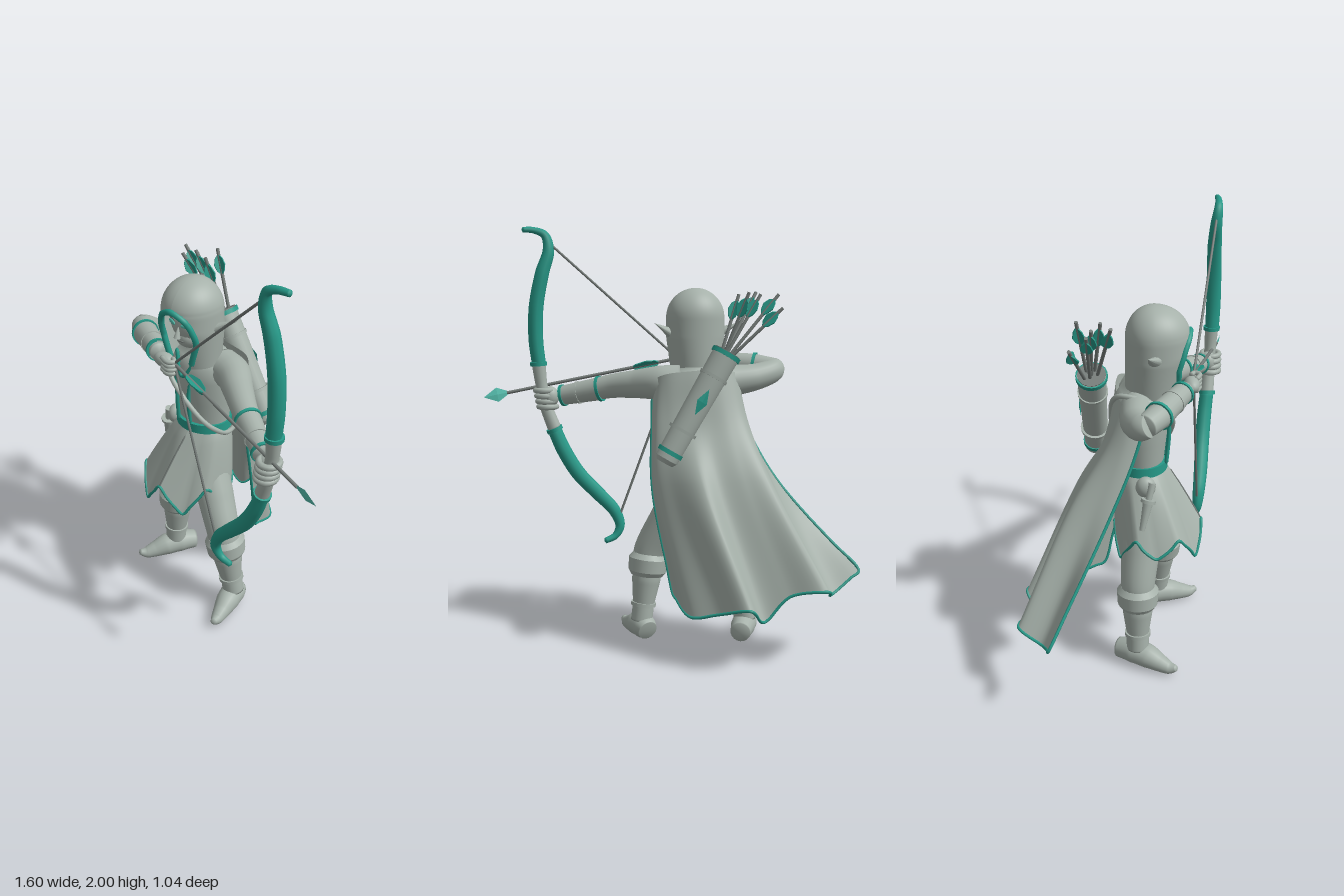
import * as THREE from 'three';
import { mergeVertices } from 'three/addons/utils/BufferGeometryUtils.js';
import { ParametricGeometry } from 'three/addons/geometries/ParametricGeometry.js';

const V = (p) => new THREE.Vector3(...p);
const paint = (name, color) => Object.assign(new THREE.MeshStandardMaterial({ color, side: THREE.DoubleSide }), { name });

export function createModel() {
  const root = new THREE.Group();
  root.name = 'archer';
  const cloth = paint('sage grey', 0xa6b1aa);
  const teal = paint('teal', 0x269988);
  const bright = paint('bright teal', 0x58c4b3);
  const grey = paint('dark grey', 0x757c79);

  const add = (name, geo, mat, parent = root) => {
    const m = new THREE.Mesh(geo, mat);
    m.name = name;
    parent.add(m);
    return m;
  };
  const smooth = (geo) => {
    geo.deleteAttribute('uv');
    geo.deleteAttribute('normal');
    const g = mergeVertices(geo, 1e-5);
    g.computeVertexNormals();
    return g;
  };
  // Tapered tube through points, one radius per point, closed at both ends
  const limb = (name, pts, radii, mat, sides = 14, closed = false) => {
    const c = new THREE.CatmullRomCurve3(pts.map(V), closed);
    c.getPointAt = c.getPoint;
    c.getTangentAt = c.getTangent;
    const n = pts.length * 8;
    const geo = new THREE.TubeGeometry(c, n, 1, sides, closed);
    const pos = geo.attributes.position, p = new THREE.Vector3();
    for (let i = 0; i <= n; i++) {
      const f = (i / n) * (radii.length - 1), k = Math.min(Math.floor(f), radii.length - 2);
      let r = radii.length > 1 ? THREE.MathUtils.lerp(radii[k], radii[k + 1], f - k) : radii[0];
      if (!closed && (i === 0 || i === n)) r = 0;
      const o = c.getPoint(i / n);
      for (let j = 0; j <= sides; j++) {
        const q = i * (sides + 1) + j;
        p.fromBufferAttribute(pos, q).sub(o).multiplyScalar(r).add(o);
        pos.setXYZ(q, p.x, p.y, p.z);
      }
    }
    return add(name, smooth(geo), mat);
  };
  // Group whose +y runs from a to b
  const axis = (name, a, b) => {
    const g = new THREE.Group(), d = V(b).sub(V(a));
    g.name = name;
    g.position.copy(V(a));
    g.userData.length = d.length();
    g.quaternion.setFromUnitVectors(new THREE.Vector3(0, 1, 0), d.normalize());
    root.add(g);
    return g;
  };
  const rod = (name, parent, y0, y1, r0, r1, mat, sides = 20) => {
    const m = add(name, new THREE.CylinderGeometry(r1, r0, y1 - y0, sides), mat, parent);
    m.position.y = (y0 + y1) / 2;
    return m;
  };
  const blob = (name, p, s, mat) => {
    const m = add(name, new THREE.SphereGeometry(1, 24, 16), mat);
    m.position.set(...p);
    m.scale.set(...s);
    return m;
  };
  const surface = (name, f, nu, nv, mat) => {
    const g = new ParametricGeometry((u, v, t) => t.copy(f(u, v)), nu, nv);
    g.computeVertexNormals();
    return add(name, g, mat);
  };

  // Torso, belt and chest trim
  const torso = add('torso', new THREE.LatheGeometry([[0.11, 0.86], [0.125, 0.97], [0.14, 1.1], [0.157, 1.22], [0.15, 1.29], [0.12, 1.33], [0.06, 1.36], [0.05, 1.44]].map((p) => new THREE.Vector2(...p)), 32), cloth);
  torso.position.set(-0.15, 0, 0.05);
  torso.scale.z = 0.8;
  const belt = add('belt', new THREE.CylinderGeometry(0.136, 0.138, 0.044, 32), teal);
  belt.position.set(-0.15, 0.972, 0.05);
  belt.scale.z = 0.87;
  for (const x of [-0.21, -0.14]) {
    limb('chestTrim', [[x + (x < -0.2 ? -0.01 : 0.02), 1.28, 0.155], [x, 1.15, 0.169], [x - 0.005, 0.98, 0.158]], [0.009], teal, 8);
  }
  limb('collarTrim', [[-0.22, 1.36, 0.15], [-0.17, 1.24, 0.175], [-0.09, 1.36, 0.15]], [0.009], teal, 8);

  // Flared tunic skirt, pointed hem longest at the front
  const skirtPt = (u, v) => {
    const a = u * Math.PI * 2, w = Math.abs(((u * 6) % 1) - 0.5) * 2, c = Math.cos(a);
    const drop = 0.265 + (0.075 + 0.065 * Math.abs(c)) * (1 - w), e = Math.pow(v, 0.75);
    const rx = 0.126 + 0.098 * e, rz = 0.108 + 0.072 * e + 0.04 * v * Math.max(0, c);
    return new THREE.Vector3(-0.15 - 0.055 * v + rx * Math.sin(a), 0.953 - v * drop, 0.05 + 0.055 * v + rz * c);
  };
  surface('skirt', skirtPt, 72, 12, cloth);
  const hem = [];
  for (let i = 0; i < 36; i++) hem.push(skirtPt(i / 36, 1).toArray());
  limb('skirtTrim', hem, [0.007], teal, 6, true);
  limb('frontSeam', [0.1, 0.4, 0.75, 1].map((v) => skirtPt(0, v).toArray()), [0.004], grey, 6);

  // Legs, boots and feet
  const legs = [
    { hip: [-0.12, 0.8, 0.08], knee: [0.06, 0.43, 0.168], ankle: [0.1, 0.13, 0.155], dir: [0.2, 0.98], heel: -0.06 },
    { hip: [-0.25, 0.8, 0.06], knee: [-0.36, 0.43, 0.025], ankle: [-0.385, 0.13, 0.025], dir: [-0.52, 0.85], heel: -0.11 },
  ];
  for (const { hip, knee, ankle, dir, heel } of legs) {
    const at = (t) => V(knee).lerp(V(ankle), t).toArray();
    limb('thigh', [hip, V(hip).lerp(V(knee), 0.5).toArray(), knee, at(0.3)], [0.09, 0.09, 0.078, 0.065], cloth, 20);
    limb('bootShaft', [at(0.1), at(0.45), at(0.85), at(1.15)], [0.072, 0.07, 0.052, 0.053], cloth, 20);
    const cuff = axis('bootCuff', at(0.34), at(0));
    rod('cuffBottom', cuff, -0.01, 0.012, 0.078, 0.093, cloth, 24);
    rod('cuff', cuff, 0.012, 0.075, 0.093, 0.097, cloth, 24);
    rod('cuffTop', cuff, 0.075, 0.1, 0.097, 0.078, cloth, 24);
    const strap = axis('ankleStrap', at(0.88), at(0.78));
    rod('band', strap, 0, 0.018, 0.061, 0.061, cloth);
    const step = (d, y) => [ankle[0] + dir[0] * d, y, ankle[2] + dir[1] * d];
    limb('foot', [step(heel, 0.052), step(-0.02, 0.064), step(0.06, 0.057), step(0.12, 0.042), step(0.17, 0.034), step(0.21, 0.046)], [0.047, 0.06, 0.056, 0.042, 0.03, 0.012], cloth, 18);
  }

  // Arms with banded bracers
  limb('leftArm', [[-0.06, 1.27, 0.03], [0.03, 1.27, 0.06], [0.13, 1.26, 0.145], [0.23, 1.245, 0.23], [0.34, 1.215, 0.305], [0.45, 1.19, 0.39]], [0.085, 0.082, 0.067, 0.057, 0.05, 0.042], cloth, 20);
  limb('rightUpperArm', [[-0.22, 1.27, 0.03], [-0.3, 1.275, 0.02], [-0.42, 1.29, 0.01], [-0.52, 1.318, 0.03], [-0.54, 1.335, 0.06]], [0.08, 0.076, 0.064, 0.056, 0.048], cloth, 20);
  limb('rightForearm', [[-0.54, 1.325, 0.035], [-0.46, 1.337, 0.1], [-0.35, 1.35, 0.17], [-0.24, 1.362, 0.24]], [0.05, 0.056, 0.049, 0.038], cloth, 20);
  const bracer = (a, b, r0, r1) => {
    const g = axis('bracer', a, b), L = g.userData.length;
    rod('bracerShell', g, 0, L, r0, r1, cloth);
    rod('bracerRing', g, 0, 0.014, r0 + 0.006, r0 + 0.006, teal);
    rod('bracerRing', g, L - 0.014, L, r1 + 0.006, r1 + 0.006, teal);
    rod('bracerBand', g, L * 0.55, L * 0.55 + 0.01, r1 + 0.008, r1 + 0.008, cloth);
  };
  bracer([0.27, 1.233, 0.26], [0.44, 1.192, 0.375], 0.056, 0.047);
  bracer([-0.46, 1.337, 0.1], [-0.27, 1.358, 0.22], 0.058, 0.047);

  // Hands
  blob('leftHand', [0.49, 1.185, 0.42], [0.045, 0.05, 0.04], cloth);
  for (let i = 0; i < 4; i++) {
    const f = add('leftFinger', new THREE.TorusGeometry(0.043, 0.014, 8, 20), cloth);
    f.position.set(0.515 - i * 0.005, 1.215 - i * 0.027, 0.435);
    f.rotation.x = Math.PI / 2;
  }
  blob('rightHand', [-0.19, 1.358, 0.265], [0.055, 0.034, 0.035], cloth);
  for (let i = 0; i < 4; i++) {
    const y = 1.382 - i * 0.019;
    limb('rightFinger', [[-0.19, y, 0.285], [-0.135, y, 0.305], [-0.115, y, 0.285], [-0.14, y, 0.265]], [0.011], cloth, 8);
  }

  // Head, face and pointed ears
  blob('face', [-0.15, 1.52, 0.11], [0.1, 0.115, 0.105], cloth);
  blob('jaw', [-0.148, 1.445, 0.135], [0.065, 0.06, 0.068], cloth);
  const nose = add('nose', new THREE.ConeGeometry(0.016, 0.06, 8), cloth);
  nose.position.set(-0.148, 1.49, 0.217);
  nose.rotation.x = -0.25;
  blob('mouth', [-0.148, 1.437, 0.202], [0.022, 0.004, 0.004], grey);
  for (const s of [-1, 1]) {
    const eye = blob('eye', [-0.148 + s * 0.042, 1.522, 0.206], [0.028, 0.011, 0.006], bright);
    eye.rotation.y = s * 0.4;
    const brow = blob('brow', [-0.148 + s * 0.042, 1.543, 0.204], [0.03, 0.006, 0.006], grey);
    brow.rotation.set(0, s * 0.4, s * 0.15);
    const ear = axis('ear', [-0.15 + s * 0.12, 1.5, 0.1], [-0.15 + s * 0.215, 1.55, 0.06]);
    const cone = add('earTip', new THREE.ConeGeometry(0.038, 0.12, 12), cloth, ear);
    cone.position.y = 0.05;
    cone.scale.x = 0.7;
  }

  // Hood with an arched opening, drawn in toward the chin
  const hoodPt = (u, v) => {
    const k = Math.max(0, (v - 0.6) / 0.4) * Math.PI / 2;
    const y = v < 0.6 ? 1.31 + (v / 0.6) * 0.26 : 1.57 + 0.14 * Math.sin(k);
    const r = 0.138 * Math.cos(k);
    const a = y > 1.44 ? 0.78 * Math.sqrt(Math.max(0, 1 - ((y - 1.44) / 0.155) ** 2)) : 0.78 - (1.44 - y) * 2.4;
    const t = a + u * (Math.PI * 2 - 2 * a), c = Math.cos(t);
    const front = 1.14 - 1.9 * Math.max(0, 1.5 - y), narrow = 1 - 0.9 * Math.max(0, 1.48 - y);
    return new THREE.Vector3(-0.152 + r * narrow * Math.sin(t), y, 0.1 + r * c * (c > 0 ? front : 0.9));
  };
  surface('hood', hoodPt, 40, 48, cloth);
  const arch = [];
  for (let i = 0; i <= 12; i++) arch.push(hoodPt(0, 0.06 + i * 0.0489).toArray());
  const archBack = arch.map((p) => [-0.304 - p[0], p[1], p[2]]).reverse();
  limb('hoodTrim', [...arch, ...archBack.slice(1)], [0.014], teal, 8);

  // Cape swept back and to the side
  const rows = [
    [[0.07, 1.27, 0.07], [0.07, 1.3, 0], [0.03, 1.32, -0.04], [-0.06, 1.33, -0.06], [-0.15, 1.335, -0.065], [-0.23, 1.33, -0.06], [-0.3, 1.32, -0.04], [-0.33, 1.3, 0], [-0.32, 1.26, 0.06]],
    [[0.08, 1.07, 0.05], [0.085, 1.09, -0.02], [0.03, 1.1, -0.055], [-0.06, 1.1, -0.085], [-0.15, 1.1, -0.11], [-0.24, 1.1, -0.13], [-0.32, 1.1, -0.12], [-0.36, 1.09, -0.06], [-0.37, 1.07, 0]],
    [[0.09, 0.78, 0.01], [0.095, 0.8, -0.06], [0.04, 0.82, -0.13], [-0.07, 0.83, -0.24], [-0.16, 0.83, -0.23], [-0.27, 0.84, -0.26], [-0.38, 0.84, -0.28], [-0.43, 0.83, -0.18], [-0.48, 0.82, -0.12]],
    [[0.03, 0.3, -0.12], [0, 0.24, -0.29], [-0.1, 0.27, -0.38], [-0.21, 0.31, -0.495], [-0.3, 0.23, -0.43], [-0.42, 0.34, -0.44], [-0.57, 0.37, -0.515], [-0.64, 0.32, -0.41], [-0.795, 0.41, -0.375]],
  ];
  const columns = rows[0].map((_, i) => new THREE.CatmullRomCurve3(rows.map((r) => V(r[i]))));
  const capePt = (u, v) => new THREE.CatmullRomCurve3(columns.map((c) => c.getPoint(v))).getPoint(u);
  surface('cape', capePt, 64, 30, cloth);
  const edge = [];
  for (let i = 0; i <= 10; i++) edge.push(capePt(0, i / 10).toArray());
  for (let i = 1; i <= 32; i++) edge.push(capePt(i / 32, 1).toArray());
  for (let i = 1; i <= 10; i++) edge.push(capePt(1, 1 - i / 10).toArray());
  limb('capeTrim', edge, [0.007], teal, 6);

  // Quiver, its strap and spare arrows
  const quiver = axis('quiver', [0.07, 0.945, -0.15], [-0.21, 1.42, -0.17]);
  const qL = quiver.userData.length;
  rod('quiverBody', quiver, 0, qL, 0.054, 0.064, cloth, 24);
  rod('quiverBase', quiver, -0.02, 0, 0.04, 0.054, cloth, 24);
  rod('quiverRing', quiver, 0.025, 0.045, 0.06, 0.06, teal, 24);
  rod('quiverRim', quiver, qL - 0.02, qL, 0.07, 0.07, teal, 24);
  rod('quiverMouth', quiver, qL - 0.01, qL + 0.004, 0.062, 0.062, grey, 24);
  for (const y of [0.14, 0.42]) rod('quiverBand', quiver, y, y + 0.014, 0.067, 0.068, cloth, 24);
  const leaf = add('quiverLeaf', new THREE.OctahedronGeometry(1), teal, quiver);
  leaf.scale.set(0.026, 0.065, 0.004);
  leaf.position.set(0.01, 0.3, -0.063);
  limb('strap', [[-0.29, 1.33, 0.05], [-0.26, 1.25, 0.165], [-0.13, 1.1, 0.178], [-0.04, 0.99, 0.13], [-0.015, 0.93, 0.03], [-0.02, 1.0, -0.05], [-0.16, 1.25, -0.085], [-0.26, 1.34, -0.05]], [0.012], cloth, 8, true);

  // Arrow with its shaft from a to b, and three leaf-shaped vanes
  const arrow = (a, b, vaneAt, vaneLen) => {
    const g = axis('arrow', a, b), L = g.userData.length;
    rod('shaft', g, 0, L, 0.008, 0.008, grey, 8);
    for (let i = 0; i < 3; i++) {
      const pivot = new THREE.Group();
      pivot.rotation.y = (i * Math.PI * 2) / 3;
      g.add(pivot);
      const s = new THREE.Shape([[0, 0], [0.02, 0.02], [0.03, vaneLen * 0.5], [0.02, vaneLen - 0.02], [0, vaneLen]].map((p) => new THREE.Vector2(...p)));
      add('vane', new THREE.ExtrudeGeometry(s, { depth: 0.006, bevelEnabled: false }), teal, pivot).position.y = vaneAt < 0 ? L + vaneAt : vaneAt;
    }
    return g;
  };
  for (const tip of [[-0.44, 1.62, -0.26], [-0.45, 1.68, -0.19], [-0.38, 1.69, -0.09], [-0.37, 1.68, -0.17], [-0.29, 1.69, -0.23], [-0.28, 1.68, -0.13]]) {
    arrow([-0.18 + 0.1 * (tip[0] + 0.37), 1.37, -0.17 + 0.2 * (tip[2] + 0.17)], tip, -0.125, 0.1);
  }

  // Drawn arrow with a flat bright head
  const shot = arrow([-0.13, 1.37, 0.275], [0.69, 1.202, 0.489], 0.1, 0.14);
  shot.name = 'drawnArrow';
  const head = add('arrowHead', new THREE.OctahedronGeometry(1), bright, shot);
  head.scale.set(0.036, 0.068, 0.0045);
  head.position.y = shot.userData.length + 0.048;

  // Bow, grip and string
  limb('upperBowLimb', [[0.535, 1.32, 0.44], [0.55, 1.46, 0.445], [0.546, 1.62, 0.442], [0.515, 1.78, 0.435], [0.482, 1.89, 0.435], [0.497, 1.96, 0.445], [0.545, 1.982, 0.45], [0.608, 1.985, 0.45]], [0.034, 0.036, 0.036, 0.034, 0.028, 0.021, 0.016, 0.013], teal, 8);
  limb('lowerBowLimb', [[0.475, 1.03, 0.42], [0.43, 0.92, 0.405], [0.36, 0.8, 0.39], [0.26, 0.69, 0.375], [0.185, 0.605, 0.36], [0.16, 0.53, 0.35], [0.185, 0.48, 0.345], [0.245, 0.455, 0.34]], [0.034, 0.036, 0.036, 0.034, 0.03, 0.024, 0.018, 0.014], teal, 8);
  limb('bowGrip', [[0.54, 1.35, 0.44], [0.53, 1.25, 0.435], [0.51, 1.14, 0.43], [0.465, 1.01, 0.418]], [0.034, 0.029, 0.03, 0.034], cloth, 14);
  for (const [a, b] of [[[0.54, 1.335, 0.44], [0.541, 1.355, 0.44]], [[0.474, 1.03, 0.42], [0.466, 1.01, 0.419]]]) {
    rod('ring', axis('bowRing', a, b), 0, 0.018, 0.041, 0.041, teal);
  }
  for (const end of [[0.475, 1.92, 0.435], [0.165, 0.57, 0.35]]) {
    const g = axis('bowString', [-0.12, 1.37, 0.28], end);
    rod('string', g, 0, g.userData.length, 0.006, 0.006, grey, 8);
  }

  // Belt pouch and sheathed dagger on the right hip
  blob('pouch', [-0.32, 0.925, 0.06], [0.036, 0.05, 0.045], cloth);
  const dagger = axis('dagger', [-0.4, 0.75, 0.04], [-0.34, 0.97, 0.09]);
  rod('sheath', dagger, 0, 0.13, 0.012, 0.023, cloth, 12);
  rod('guard', dagger, 0.13, 0.145, 0.034, 0.034, cloth, 12);
  rod('handle', dagger, 0.145, 0.22, 0.014, 0.017, cloth, 12);

  return root;
}
